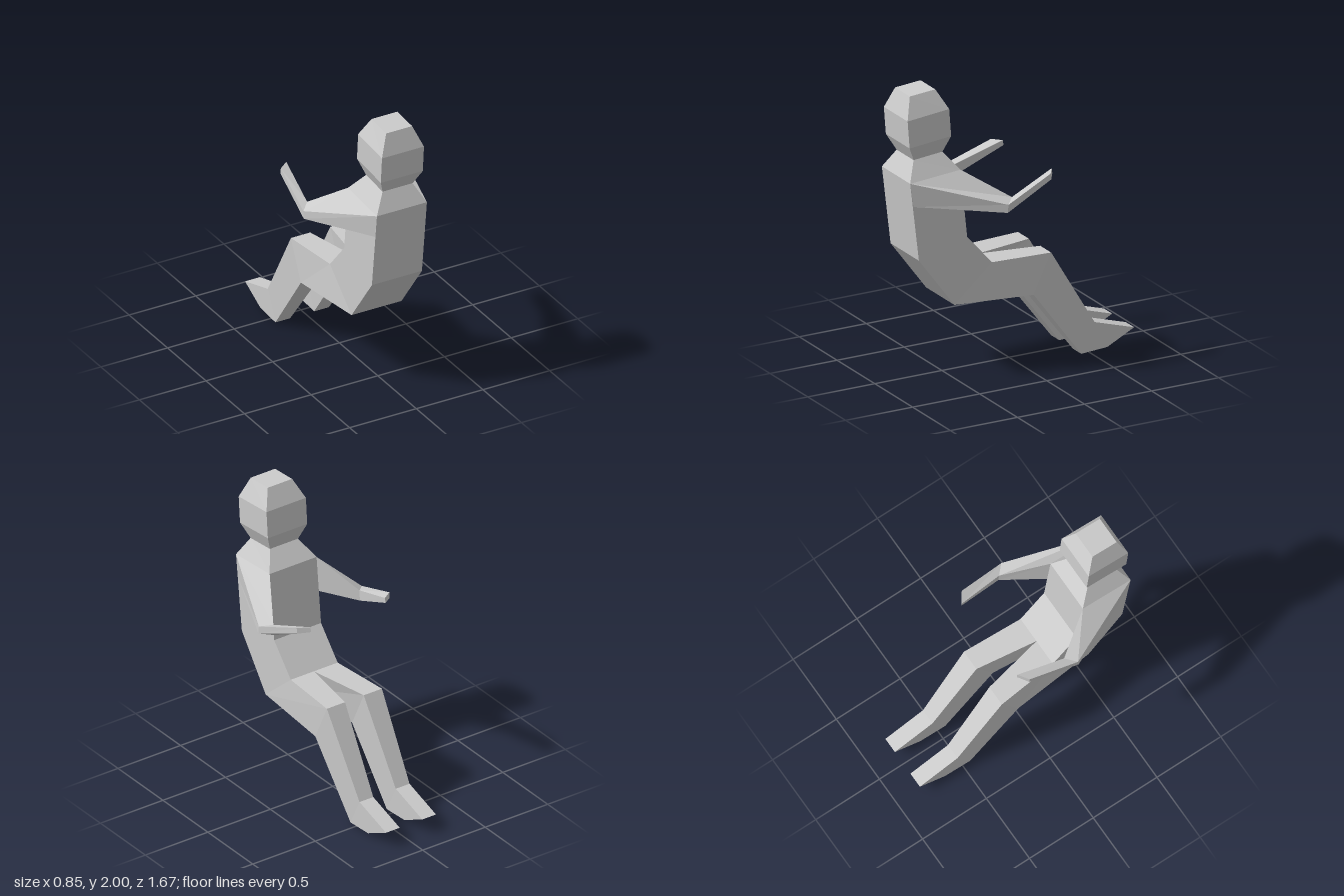
import * as THREE from 'three';

const material = new THREE.MeshStandardMaterial({ color: 0xcccccc, flatShading: true });

// Skins a chain of four-cornered rings, optionally closing its ends.
function loft(name, rings, capStart, capEnd) {
  const pos = [];
  const quad = (a, b, c, d) => pos.push(...a, ...b, ...c, ...a, ...c, ...d);
  for (let s = 0; s < rings.length - 1; s++) {
    const a = rings[s], b = rings[s + 1];
    for (let i = 0; i < 4; i++) {
      const j = (i + 1) % 4;
      quad(a[i], b[i], b[j], a[j]);
    }
  }
  if (capStart) quad(...rings[0]);
  if (capEnd) quad(...[...rings[rings.length - 1]].reverse());
  const geometry = new THREE.BufferGeometry();
  geometry.setAttribute('position', new THREE.Float32BufferAttribute(pos, 3));
  geometry.computeVertexNormals();
  const mesh = new THREE.Mesh(geometry, material);
  mesh.name = name;
  return mesh;
}

// Ring spanning x0..x1 between a rear [z, y] point and a forward [z, y] point.
const ring = (x0, x1, [bz, by], [fz, fy]) =>
  [[x0, by, bz], [x1, by, bz], [x1, fy, fz], [x0, fy, fz]];

export function createModel() {
  const figure = new THREE.Group();
  figure.name = 'seatedFigure';

  // Head, tapering into the neck
  const neck = ring(-0.12, 0.105, [0.77, 1.545], [0.555, 1.565]);
  figure.add(loft('head', [
    ring(-0.105, 0.09, [0.79, 1.985], [0.6, 2.0]),
    ring(-0.165, 0.15, [0.84, 1.84], [0.53, 1.87]),
    ring(-0.165, 0.15, [0.825, 1.65], [0.515, 1.68]),
    neck,
  ], true, false));

  // Torso, from neck to bent hips
  const hipBack = [0.505, 0.515], hipFront = [0.225, 0.76];
  figure.add(loft('torso', [
    neck,
    ring(-0.2, 0.175, [0.835, 1.415], [0.46, 1.445]),
    ring(-0.2, 0.175, [0.77, 0.87], [0.41, 0.97]),
    ring(-0.2, 0.175, hipBack, hipFront),
  ], false, false));

  // Legs: thigh, shin and pointed foot; x ranges at hip, knee and ankle
  const legs = {
    leftLeg: [[-0.2, -0.01], [-0.245, -0.1], [-0.225, -0.115]],
    rightLeg: [[-0.01, 0.175], [0.05, 0.195], [0.065, 0.175]],
  };
  for (const [name, [hip, knee, ankle]] of Object.entries(legs)) {
    figure.add(loft(name, [
      ring(...hip, hipBack, hipFront),
      ring(...knee, [-0.075, 0.485], [-0.205, 0.755]),
      ring(...ankle, [-0.44, 0.003], [-0.54, 0.205]),
      ring(...ankle, [-0.635, 0.015], [-0.835, 0.115]),
    ], false, true));
  }

  // Arms: shoulder, elbow and hand rings, mirrored with a slight offset in pose
  const arm = (name, side, shoulderX, elbowX, handX, elbowDz, handDz) => {
    const rings = [
      [[shoulderX, 1.25, 0.81], [shoulderX, 1.415, 0.835],
        [shoulderX, 1.445, 0.46], [shoulderX, 1.2, 0.435]],
      [[elbowX[0], 1.185, 0.245 + elbowDz], [elbowX[0], 1.24, 0.24 + elbowDz],
        [elbowX[1], 1.26, 0.175 + elbowDz], [elbowX[1], 1.185, 0.17 + elbowDz]],
      [[handX[0], 1.335, -0.11 + handDz], [handX[0], 1.375, -0.105 + handDz],
        [handX[1], 1.38, -0.155 + handDz], [handX[1], 1.345, -0.16 + handDz]],
    ].map((r) => {
      const corners = r.map(([x, y, z]) => [x * side, y, z]);
      return side > 0 ? corners : corners.reverse();
    });
    figure.add(loft(name, rings, false, true));
  };
  arm('rightArm', 1, 0.175, [0.42, 0.35], [0.365, 0.29], 0, 0);
  arm('leftArm', -1, 0.2, [0.425, 0.36], [0.39, 0.32], 0.03, 0.02);

  return figure;
}
